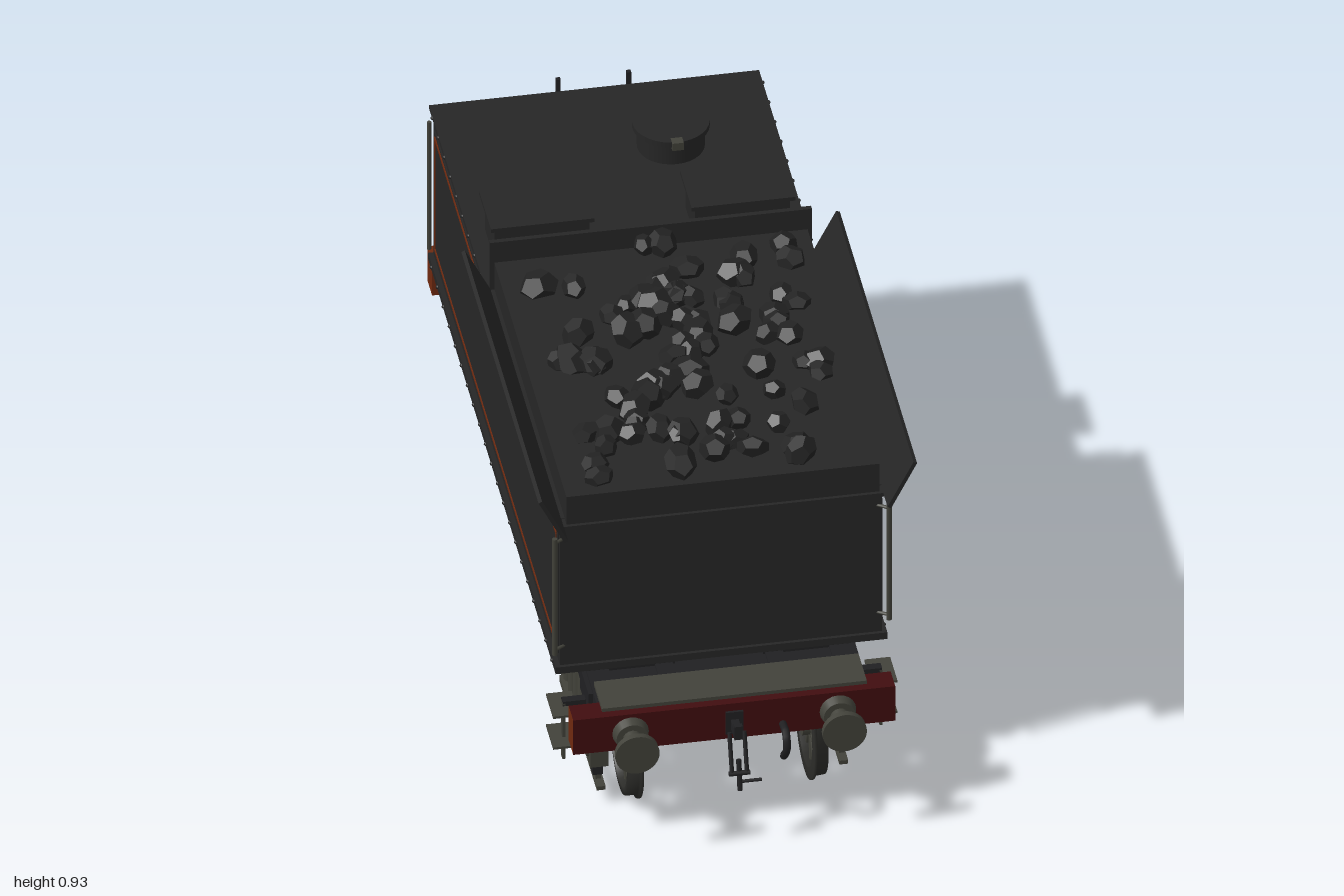
import * as THREE from 'three';

const mat = (name, color, extra = {}) => {
  const m = new THREE.MeshStandardMaterial({ color, ...extra });
  m.name = name;
  return m;
};

export function createModel() {
  const root = new THREE.Group();
  root.name = 'tender';
  const black = mat('body black', 0x262626);
  const plateBlack = mat('sheet black', 0x252525, { side: THREE.DoubleSide });
  const frameBlack = mat('frame black', 0x202022);
  const coalBlack = mat('coal black', 0x222222, { flatShading: true });
  const steel = mat('weathered steel', 0x42423a);
  const tyre = mat('wheel tyre', 0x2c2c29);
  const red = mat('beam red', 0x410d0f);
  const orange = mat('lining orange', 0x6f2a10);

  const add = (parent, name, geo, m, x = 0, y = 0, z = 0) => {
    const mesh = new THREE.Mesh(geo, m);
    mesh.name = name;
    mesh.position.set(x, y, z);
    parent.add(mesh);
    return mesh;
  };
  // Box given by its limits on each axis
  const box = (parent, name, m, x0, x1, y0, y1, z0, z1) => add(parent, name,
    new THREE.BoxGeometry(Math.abs(x1 - x0), y1 - y0, Math.abs(z1 - z0)), m, (x0 + x1) / 2, (y0 + y1) / 2, (z0 + z1) / 2);
  // Round bar between two points
  const rod = (parent, name, m, a, b, r, r2 = r, sides = 10) => {
    const p = new THREE.Vector3(...a), q = new THREE.Vector3(...b), d = q.clone().sub(p);
    const mesh = add(parent, name, new THREE.CylinderGeometry(r2, r, d.length(), sides), m);
    mesh.position.copy(p).add(q).multiplyScalar(0.5);
    mesh.quaternion.setFromUnitVectors(new THREE.Vector3(0, 1, 0), d.normalize());
    return mesh;
  };

  // Water tank with base flange and top edging
  box(root, 'tank', black, -0.365, 0.365, 0.365, 0.78, -0.835, 0.745);
  box(root, 'baseFlange', black, -0.376, 0.376, 0.36, 0.378, -0.843, 0.753);
  box(root, 'topEdging', black, -0.374, 0.374, 0.776, 0.786, -0.842, 0.75);
  const rivetGeo = new THREE.SphereGeometry(0.005, 6, 4);
  for (const s of [-1, 1]) {
    // Side panel with orange lining
    box(root, 'sidePanel', black, s * 0.364, s * 0.368, 0.405, 0.735, -0.815, 0.735);
    for (const y of [0.418, 0.725]) box(root, 'lining', orange, s * 0.366, s * 0.37, y - 0.004, y + 0.004, -0.8, 0.72);
    for (const z of [-0.798, 0.718]) box(root, 'lining', orange, s * 0.366, s * 0.37, 0.418, 0.725, z - 0.003, z + 0.003);
    for (let z = -0.8; z < 0.73; z += 0.0755) {
      add(root, 'rivet', rivetGeo, black, s * 0.376, 0.369, z);
      if (z < -0.14) add(root, 'rivet', rivetGeo, black, s * 0.374, 0.781, z);
    }
    // Corner handrails
    rod(root, 'frontHandrail', steel, [s * 0.379, 0.418, 0.758], [s * 0.379, 0.738, 0.758], 0.006);
    rod(root, 'rearHandrail', steel, [s * 0.374, 0.39, -0.842], [s * 0.374, 0.74, -0.842], 0.005);
    for (const y of [0.43, 0.725]) rod(root, 'handrailBracket', steel, [s * 0.355, y, 0.742], [s * 0.379, y, 0.758], 0.004);
    // Flared coal rail
    const rail = new THREE.Shape([[0.362, 0.783], [0.37, 0.778], [0.429, 0.895], [0.421, 0.899]].map(p => new THREE.Vector2(s * p[0], p[1])));
    add(root, 'flaredRail', new THREE.ExtrudeGeometry(rail, { depth: 0.967, bevelEnabled: false }), plateBlack, 0, 0, -0.135);
    // Toolboxes on the deck
    box(root, 'toolbox', black, s * 0.12, s * 0.335, 0.78, 0.872, -0.36, -0.24);
    box(root, 'toolboxLid', black, s * 0.11, s * 0.345, 0.87, 0.88, -0.375, -0.228);
  }

  // Coal space
  box(root, 'coalBulkhead', black, -0.365, 0.365, 0.78, 0.915, -0.142, -0.13);
  box(root, 'coalBed', black, -0.355, 0.355, 0.78, 0.86, -0.13, 0.772);
  box(root, 'coalFrontPlate', black, -0.37, 0.37, 0.774, 0.784, 0.74, 0.78);

  // Coal lumps
  let seed = 11;
  const rnd = () => (seed = (seed * 16807) % 2147483647) / 2147483647;
  const lumpGeo = new THREE.DodecahedronGeometry(1, 0);
  for (let i = 0; i < 80; i++) {
    const x = -0.28 + 0.59 * rnd(), z = -0.09 + 0.82 * rnd();
    const r = 0.026 + 0.016 * rnd();
    const lump = add(root, 'coalLump', lumpGeo, coalBlack, x, 0.868 + 0.03 * Math.max(0, 1 - Math.abs(x) / 0.28), z);
    lump.scale.set(r, r * 0.8, r * (0.9 + 0.4 * rnd()));
    lump.rotation.set(rnd() * 0.6, rnd() * 6.28, rnd() * 0.6);
  }

  // Water filler
  add(root, 'filler', new THREE.CylinderGeometry(0.076, 0.076, 0.062, 32), black, 0.13, 0.811, -0.6);
  add(root, 'fillerLid', new THREE.CylinderGeometry(0.087, 0.087, 0.014, 32), black, 0.13, 0.847, -0.6);
  box(root, 'fillerLatch', steel, 0.117, 0.143, 0.835, 0.855, -0.53, -0.508);

  // Rear ladder
  for (const s of [-1, 1]) box(root, 'ladderRail', frameBlack, s * 0.075, s * 0.085, 0.365, 0.815, -0.856, -0.846);
  for (let i = 0; i < 7; i++) rod(root, 'ladderRung', frameBlack, [-0.08, 0.41 + i * 0.058, -0.851], [0.08, 0.41 + i * 0.058, -0.851], 0.005, 0.005, 6);

  // Underframe
  for (const s of [-1, 1]) {
    box(root, 'sideSill', frameBlack, s * 0.25, s * 0.3, 0.255, 0.335, -0.865, 0.865);
    box(root, 'centreSill', frameBlack, s * 0.105, s * 0.145, 0.265, 0.335, -0.865, 0.865);
    box(root, 'stepBox', frameBlack, s * 0.295, s * 0.31, 0.272, 0.33, 0.695, 0.8);
    for (const z of [-0.7, -0.3, 0.28, 0.7]) box(root, 'tankSupport', frameBlack, s * 0.1, s * 0.3, 0.33, 0.365, z - 0.02, z + 0.02);
    // Front hanging steps
    box(root, 'stepHanger', steel, s * 0.356, s * 0.363, 0.133, 0.285, 0.745, 0.765);
    box(root, 'stepArm', frameBlack, s * 0.3, s * 0.362, 0.278, 0.29, 0.745, 0.765);
    box(root, 'upperStep', steel, s * 0.332, s * 0.39, 0.272, 0.278, 0.71, 0.8);
    box(root, 'lowerStep', steel, s * 0.332, s * 0.39, 0.187, 0.193, 0.71, 0.8);
    rod(root, 'footplateLeg', steel, [s * 0.075, 0.34, 0.88], [s * 0.075, 0.364, 0.88], 0.006);
  }
  for (const z of [-0.78, -0.5, -0.22, 0, 0.2, 0.48, 0.74]) box(root, 'crossMember', frameBlack, -0.26, 0.26, 0.262, 0.33, z - 0.035, z + 0.035);
  box(root, 'footplate', steel, -0.3, 0.3, 0.362, 0.371, 0.81, 0.915);

  // End beams, bumpers and couplings at both ends
  for (const s of [1, -1]) {
    const end = new THREE.Group();
    end.name = s > 0 ? 'frontBeamGroup' : 'rearBeamGroup';
    root.add(end);
    const faces = s > 0 ? [orange, orange, red, orange, red, orange] : [orange, orange, orange, orange, orange, red];
    box(end, 'endBeam', faces, -0.365, 0.365, 0.25, 0.345, s * 0.855, s * 0.912);
    for (const x of [-0.235, 0.235]) {
      rod(end, 'bumperBase', steel, [x, 0.295, s * 0.91], [x, 0.295, s * 0.935], 0.042, 0.036, 20);
      rod(end, 'bumperShank', steel, [x, 0.295, s * 0.93], [x, 0.295, s * 0.99], 0.022, 0.018, 16);
      rod(end, 'bumperHead', steel, [x, 0.295, s * 0.985], [x, 0.295, s * 1.0], 0.05, 0.05, 32);
    }
    // Hook and screw coupling
    box(end, 'hookPlate', frameBlack, -0.02, 0.02, 0.265, 0.325, s * 0.91, s * 0.918);
    box(end, 'drawHook', frameBlack, -0.009, 0.009, 0.282, 0.305, s * 0.915, s * 0.965);
    box(end, 'hookTip', frameBlack, -0.009, 0.009, 0.285, 0.32, s * 0.955, s * 0.968);
    for (const x of [-0.017, 0.017]) rod(end, 'couplingLink', frameBlack, [x, 0.29, s * 0.945], [x, 0.2, s * 0.978], 0.005);
    rod(end, 'couplingScrew', frameBlack, [0, 0.23, s * 0.968], [0, 0.158, s * 0.985], 0.006);
    rod(end, 'couplingPin', frameBlack, [-0.024, 0.2, s * 0.978], [0.024, 0.2, s * 0.978], 0.006);
    rod(end, 'couplingLever', frameBlack, [0, 0.178, s * 0.98], [0.05, 0.178, s * 0.98], 0.004);
    // Brake hose
    const path = new THREE.CatmullRomCurve3([[0.11, 0.275, 0.905], [0.11, 0.275, 0.955], [0.11, 0.245, 0.965], [0.11, 0.195, 0.925]]
      .map(p => new THREE.Vector3(p[0], p[1], s * p[2])));
    add(end, 'brakeHose', new THREE.TubeGeometry(path, 16, 0.009, 8), frameBlack);
  }

  // Spoked wheel: tyre profile turned about the axle, flange towards the inside
  const profile = [[0.1, -0.017], [0.128, -0.017], [0.128, -0.01], [0.12, -0.007], [0.118, 0.017], [0.1, 0.017], [0.1, -0.017]];
  const tyreGeo = new THREE.LatheGeometry(profile.map(p => new THREE.Vector2(...p)), 40);
  const makeWheel = (parent, s, z) => {
    const wheel = new THREE.Group();
    wheel.name = 'wheel';
    wheel.position.set(s * 0.21, 0.13, z);
    wheel.rotation.z = -s * Math.PI / 2;
    parent.add(wheel);
    add(wheel, 'tyre', tyreGeo, tyre);
    add(wheel, 'hub', new THREE.CylinderGeometry(0.027, 0.027, 0.05, 20), steel);
    for (let i = 0; i < 12; i++) {
      const a = i * Math.PI / 6, c = Math.cos(a), d = Math.sin(a);
      rod(wheel, 'spoke', steel, [0.02 * c, 0, 0.02 * d], [0.106 * c, 0, 0.106 * d], 0.009, 0.006, 6);
    }
  };

  // Bogies
  for (const zc of [0.48, -0.5]) {
    const bogie = new THREE.Group();
    bogie.name = 'bogie';
    bogie.position.z = zc;
    root.add(bogie);
    box(bogie, 'bolster', frameBlack, -0.27, 0.27, 0.205, 0.262, -0.06, 0.06);
    add(bogie, 'pivot', new THREE.CylinderGeometry(0.05, 0.05, 0.06, 20), frameBlack, 0, 0.25, 0);
    for (const z of [-0.243, 0.243]) {
      rod(bogie, 'axle', steel, [-0.28, 0.13, z], [0.28, 0.13, z], 0.015, 0.015, 16);
      for (const s of [-1, 1]) {
        makeWheel(bogie, s, z);
        box(bogie, 'axleBox', steel, s * 0.257, s * 0.298, 0.095, 0.175, z - 0.035, z + 0.035);
        rod(bogie, 'axleBoxCap', steel, [s * 0.297, 0.13, z], [s * 0.304, 0.13, z], 0.024, 0.02, 16);
        box(bogie, 'axleGuard', frameBlack, s * 0.266, s * 0.289, 0.06, 0.205, z - 0.016, z + 0.016);
      }
    }
    for (const s of [-1, 1]) {
      // Arch bars, spring posts and tie rods
      box(bogie, 'topBar', steel, s * 0.265, s * 0.29, 0.222, 0.24, -0.115, 0.115);
      box(bogie, 'springSeat', steel, s * 0.255, s * 0.3, 0.064, 0.08, -0.1, 0.1);
      for (const z of [-0.085, -0.03, 0.03, 0.085]) rod(bogie, 'springPost', steel, [s * 0.278, 0.075, z], [s * 0.278, 0.225, z], 0.015, 0.015, 12);
      for (const e of [-1, 1]) {
        rod(bogie, 'upperArch', steel, [s * 0.278, 0.18, e * 0.24], [s * 0.278, 0.23, e * 0.11], 0.009, 0.009, 6);
        rod(bogie, 'lowerArch', steel, [s * 0.278, 0.1, e * 0.22], [s * 0.278, 0.07, e * 0.09], 0.008, 0.008, 6);
      }
      box(bogie, 'tieBar', steel, s * 0.265, s * 0.285, 0.036, 0.046, -0.285, 0.285);
      for (const z of [-0.243, 0.243]) box(bogie, 'tieBarHanger', steel, s * 0.27, s * 0.282, 0.04, 0.065, z - 0.012, z + 0.012);
    }
  }
  return root;
}
